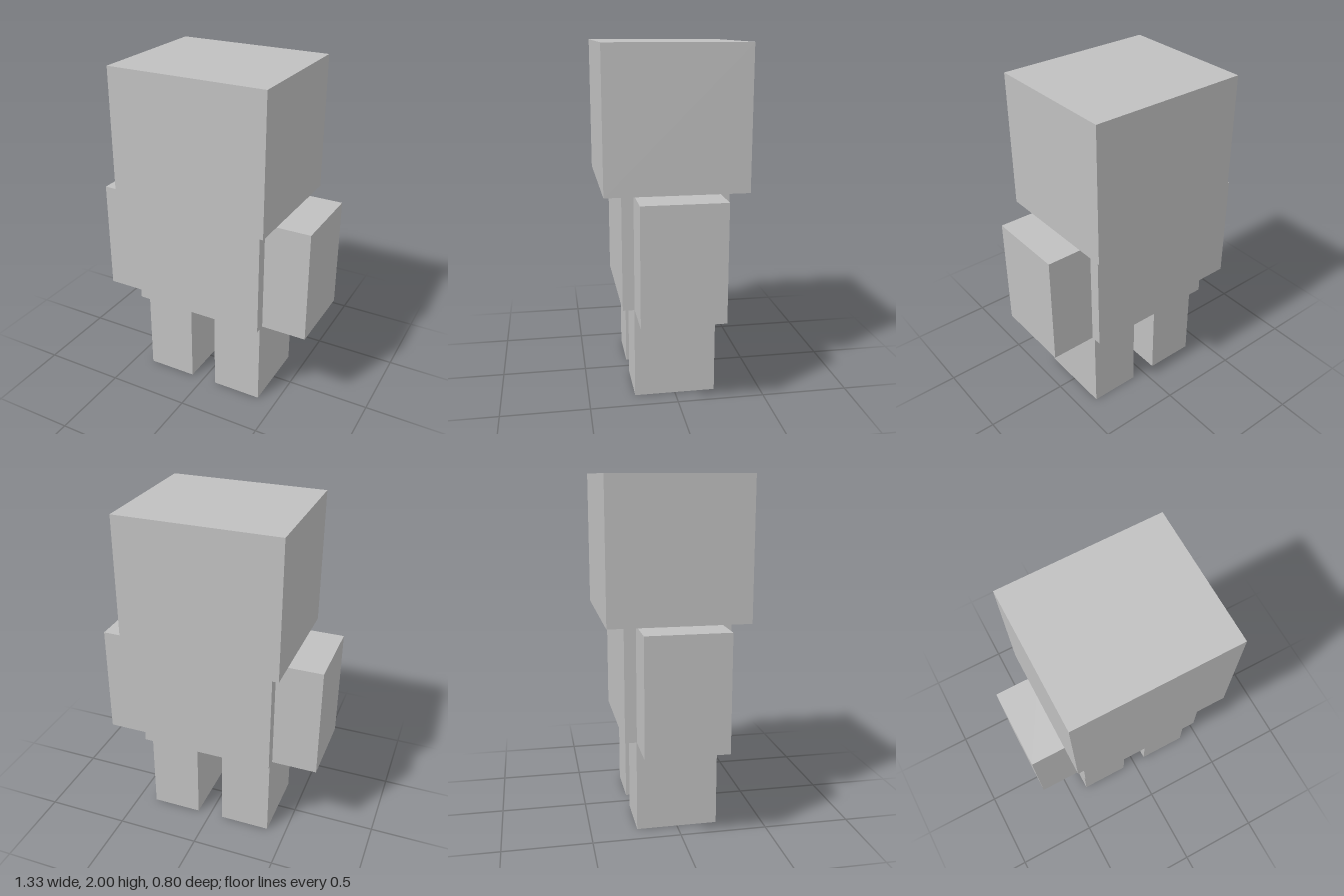
import * as THREE from 'three';

export function createModel() {
  const model = new THREE.Group();
  model.name = 'blockFigure';
  const grey = new THREE.MeshStandardMaterial({ color: 0xc0c0c0 });
  grey.name = 'plain grey';

  // Box centred on z = 0, placed by its centre x and its bottom
  function addBox(name, width, height, depth, x, bottom) {
    const mesh = new THREE.Mesh(new THREE.BoxGeometry(width, height, depth), grey);
    mesh.name = name;
    mesh.position.set(x, bottom + height / 2, 0);
    model.add(mesh);
  }

  // Head and torso
  addBox('head', 0.933, 0.8, 0.8, 0, 1.2);
  addBox('torso', 0.8, 0.665, 0.6, 0, 0.535);

  // Mirrored arms and legs
  for (const [side, s] of [['left', 1], ['right', -1]]) {
    addBox(side + 'Arm', 0.267, 0.665, 0.467, s * 0.5335, 0.535);
    addBox(side + 'Leg', 0.303, 0.535, 0.467, s * 0.2335, 0);
  }

  return model;
}
